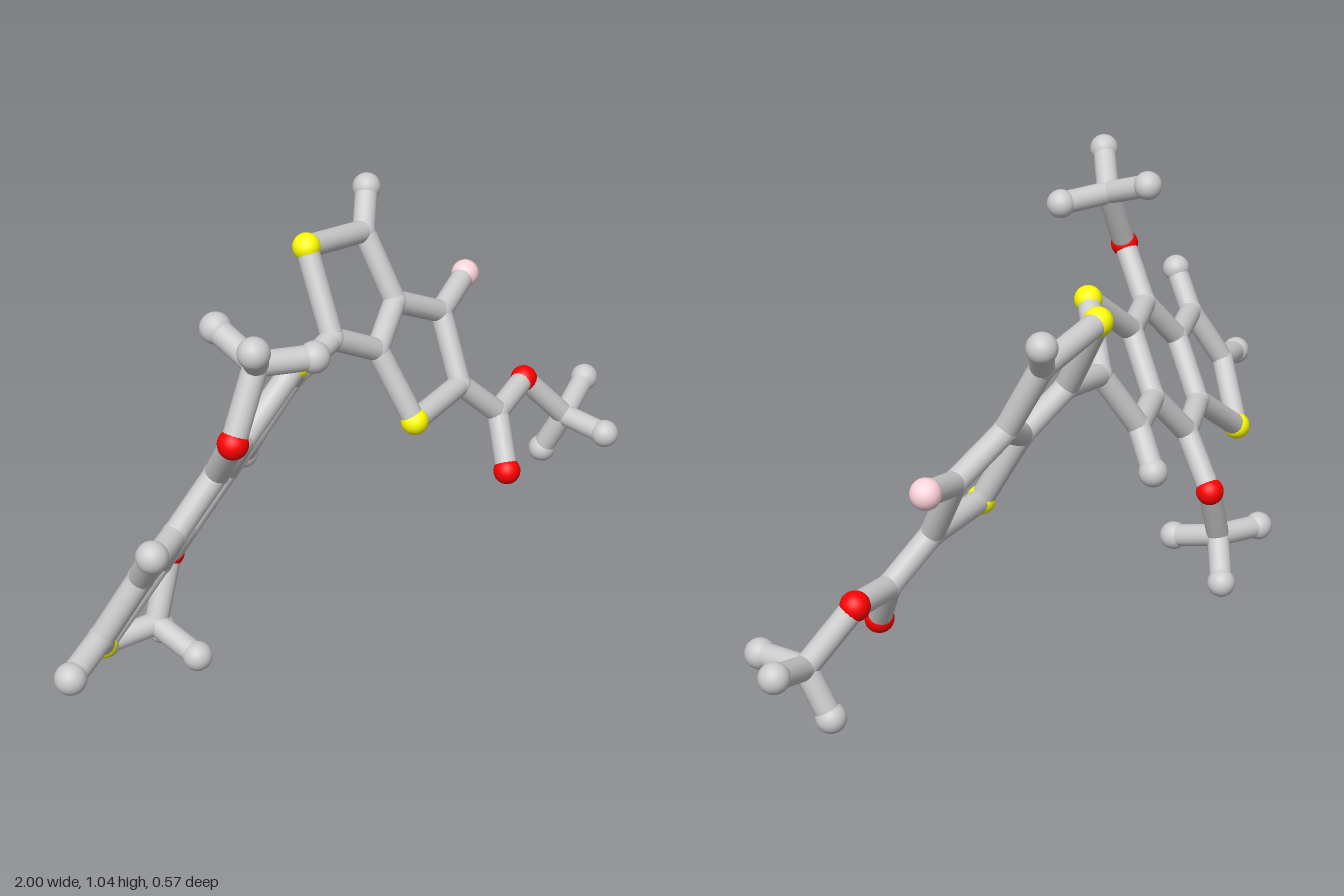
import * as THREE from 'three';

const STICK = 0.028;
const KINDS = {
  carbon: { r: 0.0295, color: 0xcccccc },
  hydrogen: { r: 0.035, color: 0xcccccc },
  sulfur: { r: 0.034, color: 0xffff00 },
  oxygen: { r: 0.034, color: 0xff0000 },
  fluorine: { r: 0.035, color: 0xffd5dc },
};

// The two flat ring systems lie in tilted planes: z follows from x and y
const planeA = (x, y) => -0.339 * x + 0.5935 * y - 0.476;
const planeB = (x, y) => -0.055 * x - 0.542 * y + 0.297;

export function createModel() {
  const model = new THREE.Group();
  const up = new THREE.Vector3(0, 1, 0);
  const atoms = {};
  const materials = {};
  const balls = {};
  for (const k in KINDS) {
    materials[k] = new THREE.MeshStandardMaterial({ color: KINDS[k].color });
    balls[k] = new THREE.SphereGeometry(KINDS[k].r, 20, 14);
  }
  const stickGeo = new THREE.CylinderGeometry(STICK, STICK, 1, 16, 1, true);

  function atom(parent, id, kind, x, y, z) {
    const mesh = new THREE.Mesh(balls[kind], materials[kind]);
    mesh.name = kind + 'Ball';
    mesh.position.set(x, y, typeof z === 'function' ? z(x, y) : z);
    parent.add(mesh);
    atoms[id] = mesh.position;
  }

  // Sticks along a chain of atom ids, e.g. 'a b c'
  function chain(parent, ids) {
    const p = ids.split(' ').map((id) => atoms[id]);
    for (let i = 0; i + 1 < p.length; i++) {
      const d = p[i + 1].clone().sub(p[i]);
      const mesh = new THREE.Mesh(stickGeo, materials.carbon);
      mesh.name = 'bondStick';
      mesh.position.copy(p[i]).addScaledVector(d, 0.5);
      mesh.scale.y = d.length();
      mesh.quaternion.setFromUnitVectors(up, d.normalize());
      parent.add(mesh);
    }
  }

  function part(name) {
    const g = new THREE.Group();
    g.name = name;
    model.add(g);
    return g;
  }

  // Three fused rings on the right
  const rings3 = part('tripleRing');
  [
    ['a1', 'carbon', -0.778, 0.535], ['a2', 'carbon', -0.842, 0.393],
    ['a3', 'carbon', -0.548, 0.403], ['a4', 'carbon', -0.605, 0.535],
    ['a5', 'carbon', -0.503, 0.653], ['a6', 'carbon', -0.345, 0.645],
    ['a7', 'carbon', -0.285, 0.513], ['a8', 'carbon', -0.388, 0.393],
    ['a9', 'carbon', -0.05, 0.655], ['a10', 'carbon', -0.125, 0.511],
    ['s1', 'sulfur', -0.723, 0.272], ['s2', 'sulfur', -0.179, 0.775],
    ['h1', 'hydrogen', -0.815, 0.628], ['h2', 'hydrogen', -0.966, 0.368],
    ['h3', 'hydrogen', -0.083, 0.424],
  ].forEach(([id, kind, x, y]) => atom(rings3, id, kind, x, y, planeA));
  chain(rings3, 'a1 a2 s1 a3 a4 a1 h1');
  chain(rings3, 'a4 a5 a6 a7 a8 a3');
  chain(rings3, 'a6 s2 a9 a10 a7');
  chain(rings3, 'a2 h2');
  chain(rings3, 'a10 h3');

  // Two fused rings on the left
  const rings2 = part('doubleRing');
  [
    ['b1', 'carbon', 0.112, 0.685], ['b2', 'carbon', 0.365, 0.845],
    ['b3', 'carbon', 0.375, 0.68], ['b4', 'carbon', 0.247, 0.612],
    ['b5', 'carbon', 0.487, 0.445], ['b6', 'carbon', 0.525, 0.605],
    ['s3', 'sulfur', 0.15, 0.878], ['s4', 'sulfur', 0.275, 0.437],
    ['h4', 'hydrogen', 0.438, 0.924], ['f', 'fluorine', 0.671, 0.647],
  ].forEach(([id, kind, x, y]) => atom(rings2, id, kind, x, y, planeB));
  chain(rings2, 'b1 s3 b2 b3 b4 b1');
  chain(rings2, 'b4 s4 b5 b6 b3');
  chain(rings2, 'b2 h4');
  chain(rings2, 'b6 f');
  chain(rings2, 'a9 b1');

  // Side branches, each ending in a three-pronged tip
  function tip(parent, id, from, centre, ends) {
    atom(parent, id, 'carbon', ...centre);
    chain(parent, from + ' ' + id);
    ends.forEach((e, i) => {
      atom(parent, id + i, 'hydrogen', ...e);
      chain(parent, id + ' ' + id + i);
    });
  }

  const upper = part('upperBranch');
  atom(upper, 'o1', 'oxygen', -0.553, 0.777, planeA);
  chain(upper, 'a5 o1');
  tip(upper, 'm1', 'o1', [-0.474, 0.932, 0.173],
    [[-0.559, 1.011, 0.238], [-0.461, 0.975, 0.053], [-0.361, 0.924, 0.238]]);

  const lower = part('lowerBranch');
  atom(lower, 'o2', 'oxygen', -0.345, 0.271, -0.204);
  chain(lower, 'a8 o2');
  tip(lower, 'm2', 'o2', [-0.417, 0.118, -0.191],
    [[-0.537, 0.107, -0.24], [-0.42, 0.081, -0.062], [-0.334, 0.037, -0.249]]);

  const end = part('endBranch');
  atom(end, 'c', 'carbon', 0.585, 0.343, planeB);
  atom(end, 'o3', 'oxygen', 0.532, 0.22, planeB);
  atom(end, 'o4', 'oxygen', 0.735, 0.369, planeB);
  chain(end, 'b5 c o3');
  chain(end, 'c o4');
  tip(end, 'm3', 'o4', [0.832, 0.245, 0.122],
    [[0.965, 0.292, 0.097], [0.82, 0.133, 0.067], [0.823, 0.236, 0.253]]);

  return model;
}
